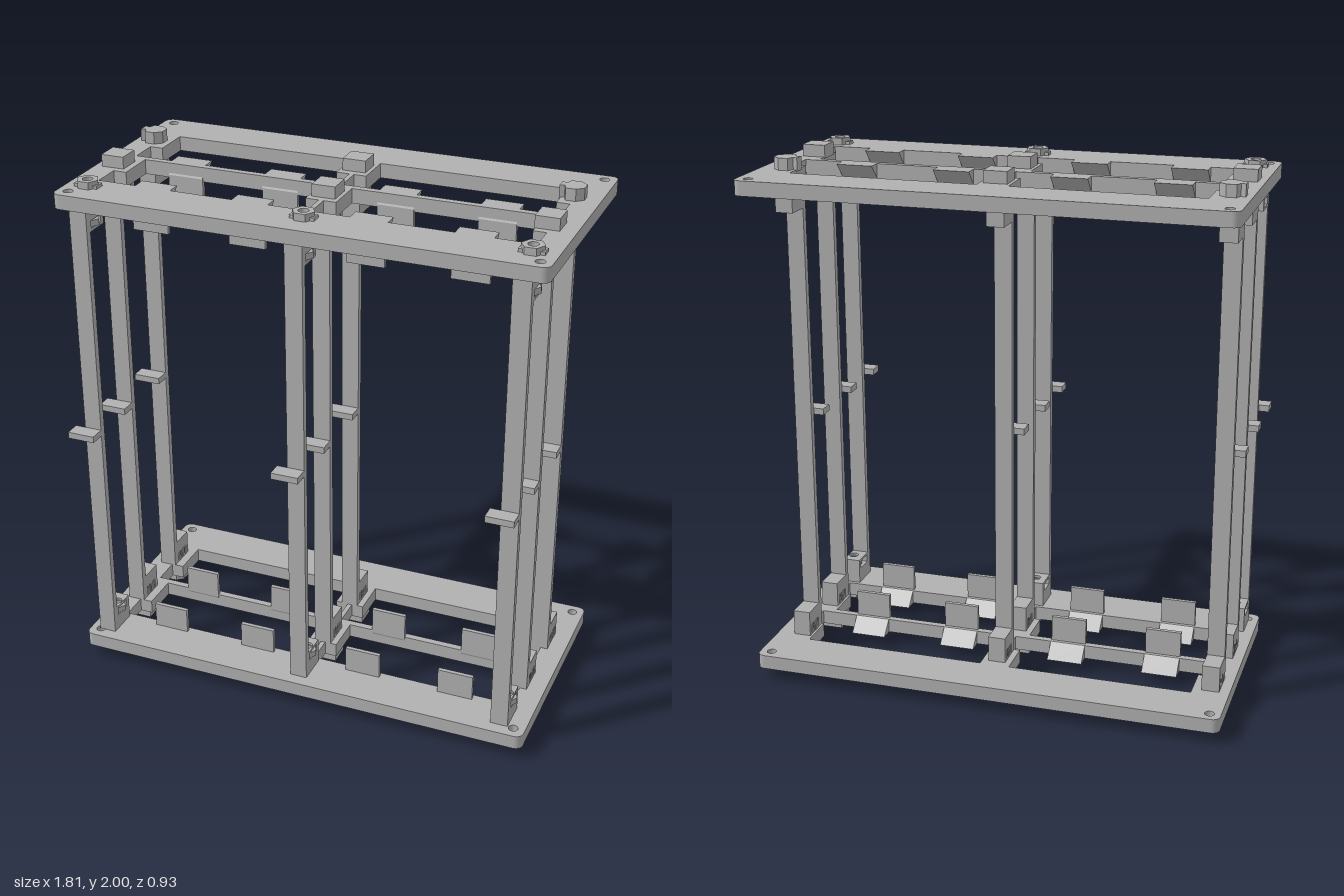
import * as THREE from 'three';

const grey = new THREE.MeshStandardMaterial({ color: 0xb0b0b0 });
grey.name = 'grey plastic';

const toShape = (pts, Type = THREE.Shape) => new Type(pts.map(([a, b]) => new THREE.Vector2(a, b)));
const rect = (a0, b0, a1, b1) => [[a0, b0], [a1, b0], [a1, b1], [a0, b1]];
const circle = (x, z, r) => new THREE.Path().absarc(x, z, r, 0, Math.PI * 2);
const hexagon = (x, z, r) => Array.from({ length: 6 }, (_, i) =>
  [x + r * Math.cos(i * Math.PI / 3), z + r * Math.sin(i * Math.PI / 3)]);

export function createModel() {
  const model = new THREE.Group();
  model.name = 'rackFrame';

  const add = (name, geometry, parent = model) => {
    const mesh = new THREE.Mesh(geometry, grey);
    mesh.name = name;
    parent.add(mesh);
    return mesh;
  };
  const extrude = (shape, depth, holes) => {
    shape.holes.push(...holes);
    return new THREE.ExtrudeGeometry(shape, { depth, bevelEnabled: false, curveSegments: 10 });
  };
  // (z, y) profile swept along x
  const alongX = (pts, x0, x1, holes = []) =>
    extrude(toShape(pts), x1 - x0, holes).rotateY(-Math.PI / 2).translate(x1, 0, 0);
  // (x, z) plan swept along y
  const alongY = (shape, y0, y1, holes = []) =>
    extrude(shape, y1 - y0, holes).rotateX(Math.PI / 2).translate(0, y1, 0);
  const box = (x0, y0, z0, x1, y1, z1) =>
    new THREE.BoxGeometry(x1 - x0, y1 - y0, z1 - z0)
      .translate((x0 + x1) / 2, (y0 + y1) / 2, (z0 + z1) / 2);

  const columns = [-0.8325, -0.0025, 0.804];
  const half = 0.0335;
  const boltOffset = 0.011, boltZ = 0.332;
  const ends = [y => y, y => 2 - y]; // bottom end, top end
  const span = (end, a, b) => [Math.min(end(a), end(b)), Math.max(end(a), end(b))];

  // Plate outline with rounded corners
  const plateOutline = () => {
    const s = new THREE.Shape(), X = 0.905, z0 = -0.463, z1 = 0.45, r = 0.03;
    s.moveTo(-X + r, z0);
    s.lineTo(X - r, z0);
    s.absarc(X - r, z0 + r, r, -Math.PI / 2, 0);
    s.absarc(X - r, z1 - r, r, 0, Math.PI / 2);
    s.absarc(-X + r, z1 - r, r, Math.PI / 2, Math.PI);
    s.absarc(-X + r, z0 + r, r, Math.PI, Math.PI * 1.5);
    return s;
  };
  // Stepped windows, screw holes and bolt holes
  const plateHoles = () => {
    const holes = [];
    for (const [z0, zm, z1] of [[-0.28, -0.133, -0.022], [0.005, 0.155, 0.265]])
      for (const [a, b, c, d] of [[-0.765, -0.06, -0.815, -0.01], [0.055, 0.762, 0.008, 0.81]])
        holes.push(toShape([[a, z0], [b, z0], [b, zm], [d, zm], [d, z1], [c, z1], [c, zm], [a, zm]], THREE.Path));
    for (const x of [-0.862, 0.86])
      for (const z of [-0.42, 0.403]) holes.push(circle(x, z, 0.018));
    for (const c of columns) holes.push(circle(c + boltOffset, boltZ, 0.019));
    return holes;
  };

  ends.forEach((end, e) => {
    const side = new THREE.Group();
    side.name = e ? 'topEnd' : 'bottomEnd';
    model.add(side);
    add('plate', alongY(plateOutline(), ...span(end, 0.045, 0.1), plateHoles()), side);

    // Guide tabs: upright lip with a sloped lead-in
    for (const z of [-0.022, 0.265])
      for (const x of [-0.6, -0.223, 0.22, 0.595]) {
        const prof = [[z + 0.014, 0.2], [z + 0.03, 0.2], [z + 0.03, 0.09], [z + 0.01, 0.045],
          [z - 0.054, 0.045], [z, 0.1], [z + 0.014, 0.1]];
        add('guideTab', alongX(prof.map(([a, y]) => [a, end(y)]), x - 0.069, x + 0.069), side);
      }

    columns.forEach((c, i) => {
      // Bolt boss with a side nut pocket, nut and bolt head
      const bx = c + boltOffset;
      const bore = () => [circle(bx, boltZ, 0.019)];
      const boss = (z0, z1) => toShape(rect(c - half, z0, c + half, z1));
      add('boltBoss', alongY(boss(0.28, 0.38), ...span(end, 0.1, 0.16), bore()), side);
      add('boltBossCap', alongY(boss(0.28, 0.38), ...span(end, 0.19, 0.2), bore()), side);
      for (const [z0, z1] of [[0.28, 0.299], [0.368, 0.38]])
        add('pocketWall', alongY(boss(z0, z1), ...span(end, 0.16, 0.19)), side);
      add('nut', alongY(toShape(hexagon(bx, boltZ, 0.035)), ...span(end, 0.163, 0.187), bore()), side);
      add('boltWasher', alongY(toShape(rect(bx - 0.046, boltZ - 0.02, bx + 0.046, boltZ + 0.02)),
        ...span(end, 0.033, 0.045), bore()), side);
      add('boltHead', alongY(toShape(hexagon(bx, boltZ, 0.042)), ...span(end, 0.018, 0.045), bore()), side);

      // Snap clip heads
      const [h0, h1] = span(end, 0, 0.05);
      add('clipHead', box(c - 0.045, h0, 0.04, c + 0.043, h1, 0.128), side);
      if (i === 1) add('clipHead', box(c - 0.045, h0, -0.25, c + 0.043, h1, -0.163), side);
      else {
        const z = -0.205;
        const edge = [[-0.048, 0.021], [-0.03, 0.014], [-0.02, 0.041], [0.017, 0.041], [0.043, 0.018]];
        const plan = [...edge.map(([a, b]) => [c + a, z - b]),
          ...edge.slice().reverse().map(([a, b]) => [c + a, z + b])];
        add('flaredClipHead', alongY(toShape(plan), h0, h1), side);
      }
    });
  });

  // Posts: three rows of three, each with a small finger at mid height
  for (const c of columns) {
    add('frontPost', box(c - half, 0.1, 0.376, c + half, 1.9, 0.402));

    for (const z of [0.156, -0.13]) {
      const b = z - 0.121, s = z - 0.026;
      const prof = [[z, 0.1], [z, 1.9], [b, 1.9], [b, 1.8], [s, 1.8], [s, 0.2], [b, 0.2], [b, 0.1]];
      // Relief slits that leave springy legs in the end blocks
      const slits = [];
      for (const end of ends)
        for (const [t0, t1] of [[0.036, 0.036], [0.06, 0.052], [0.07, 0.078], [0.094, 0.094]])
          slits.push(toShape([[z - t0, end(0.104)], [z - t0 - 0.008, end(0.104)],
            [z - t1 - 0.008, end(0.143)], [z - t1, end(0.143)]], THREE.Path));
      add(z > 0 ? 'middlePost' : 'backPost', alongX(prof, c - half, c + half, slits));
    }

    for (const z of [0.402, 0.156, -0.13])
      add('finger', box(c - 0.073, 0.988, z, c + half, 1.013, z + 0.06));
  }
  return model;
}
